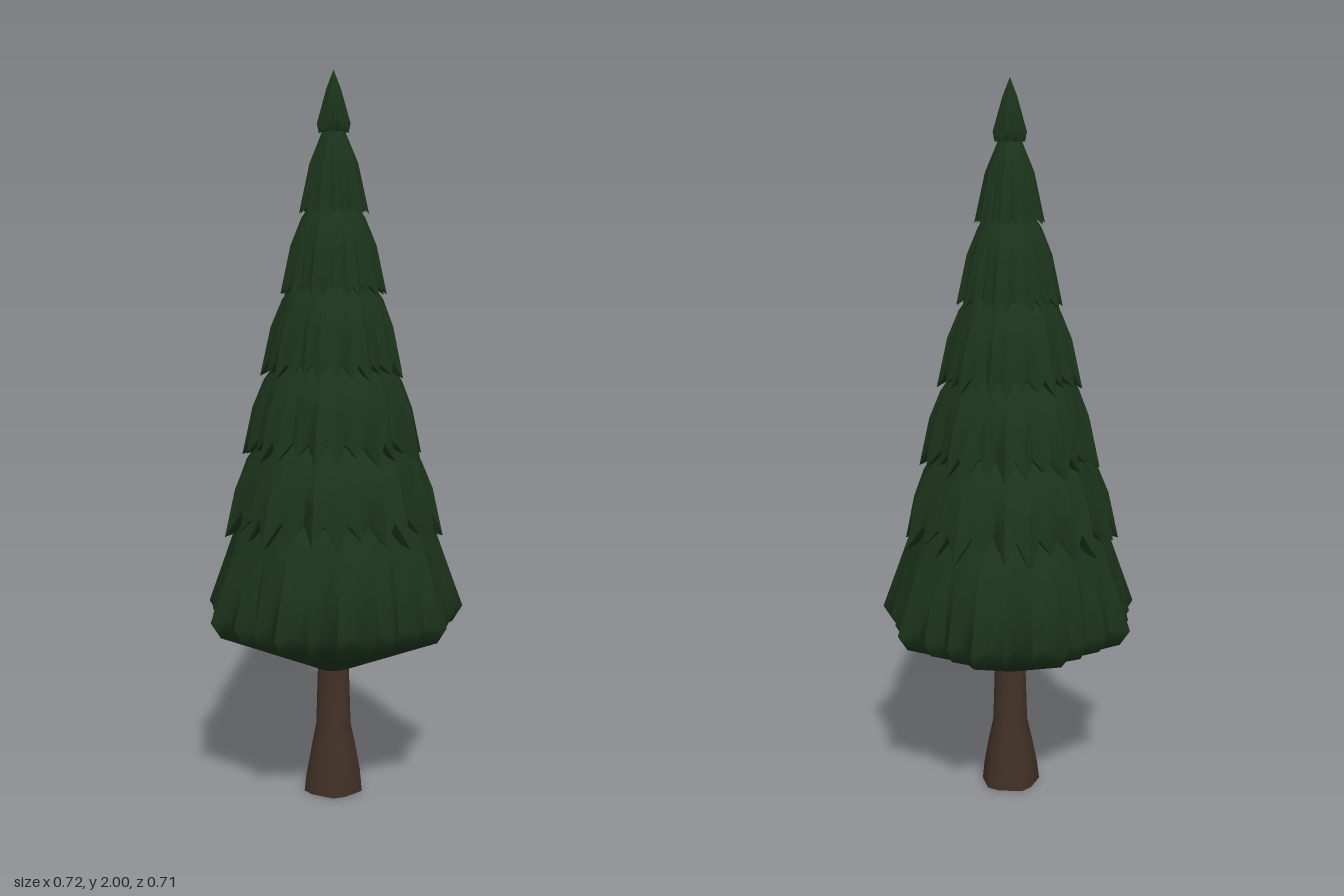
import * as THREE from 'three';
import { toCreasedNormals } from 'three/addons/utils/BufferGeometryUtils.js';

// Skin over rings listed from top to bottom; point(ring, angle, i) gives [radius, y]. Angle 0 faces the back.
function skin(rings, segments, crease, point) {
  const pos = [], index = [];
  rings.forEach((ring, j) => {
    for (let i = 0; i < segments; i++) {
      const a = (i / segments) * Math.PI * 2;
      const [r, y] = point(ring, a, i);
      pos.push(r * Math.sin(a), y, -r * Math.cos(a));
      if (j === rings.length - 1) continue;
      const n = (i + 1) % segments;
      const p = j * segments + i, q = j * segments + n;
      const s = p + segments, t = q + segments;
      if (ring[0] > 0) index.push(p, q, t);
      if (rings[j + 1][0] > 0) index.push(p, t, s);
    }
  });
  const g = new THREE.BufferGeometry();
  g.setAttribute('position', new THREE.Float32BufferAttribute(pos, 3));
  g.setIndex(index);
  return toCreasedNormals(g, crease);
}

// Twenty-seven pointed folds, every third one longer; rings are [radius, y, fold depth]
function foldedTier(rings, turn, drop) {
  return skin(rings, 54, 1.0, ([r, y, fold], a, i) => {
    const valley = i % 2;
    const short = 0.5 - 0.5 * Math.cos(9 * a + turn);
    const depth = 0.1 * short + 0.09 * valley;
    const lift = fold === 1 ? drop * (valley || 0.45 * short) : 0;
    return [r * (1 - fold * depth), y + lift];
  });
}

// Skirt tier k, each one lower and wider than the last, hung over the one below
function skirtRings(k) {
  const r = 0.097 + 0.0525 * k, y = 1.62 - 0.22 * k;
  return [
    [Math.max(0, r - 0.105), y + 0.27, 0.2],
    [r - 0.062, y + 0.21, 0.4],
    [r - 0.03, y + 0.135, 0.7],
    [r, y, 1],
    [r * 0.65, y + 0.04, 0.4],
  ];
}

export function createModel() {
  const tree = new THREE.Group();
  tree.name = 'coniferTree';
  const leaf = new THREE.MeshStandardMaterial({ color: 0x1b331b });
  const bark = new THREE.MeshStandardMaterial({ color: 0x403026 });
  const add = (name, geometry, material) => {
    const mesh = new THREE.Mesh(geometry, material);
    mesh.name = name;
    tree.add(mesh);
  };

  // Bud-shaped tip
  const tip = [[0, 2, 0], [0.02, 1.95, 0.5], [0.046, 1.86, 1], [0.041, 1.835, 1], [0, 1.84, 0]];
  add('treeTip', foldedTier(tip, 0, 0.005), leaf);

  // Middle skirts with longer teeth toward the bottom
  for (let k = 0; k < 5; k++) {
    add('foliageTier' + (k + 1), foldedTier(skirtRings(k), k * 0.9, 0.015 * (k + 1)), leaf);
  }

  // Lowest tier with its conical underside
  const base = [[0.21, 0.88, 0.2], [0.285, 0.75, 0.4], [0.325, 0.64, 0.7],
    [0.367, 0.525, 1], [0.338, 0.48, 0.9], [0.03, 0.35, 0]];
  add('lowestFoliageTier', foldedTier(base, 0, 0), leaf);

  // Trunk flaring into lobed roots, closed underneath
  const trunk = [[0.042, 0.42], [0.05, 0.19], [0.066, 0.12], [0.08, 0.05], [0.086, 0], [0, 0]];
  add('trunk', skin(trunk, 15, 0.9, ([r, y], a) => {
    const lobe = 0.12 * Math.max(0, 1 - y / 0.25);
    return [r * (1 - lobe * (0.5 - 0.5 * Math.cos(5 * a + 0.5))), y];
  }), bark);

  return tree;
}
